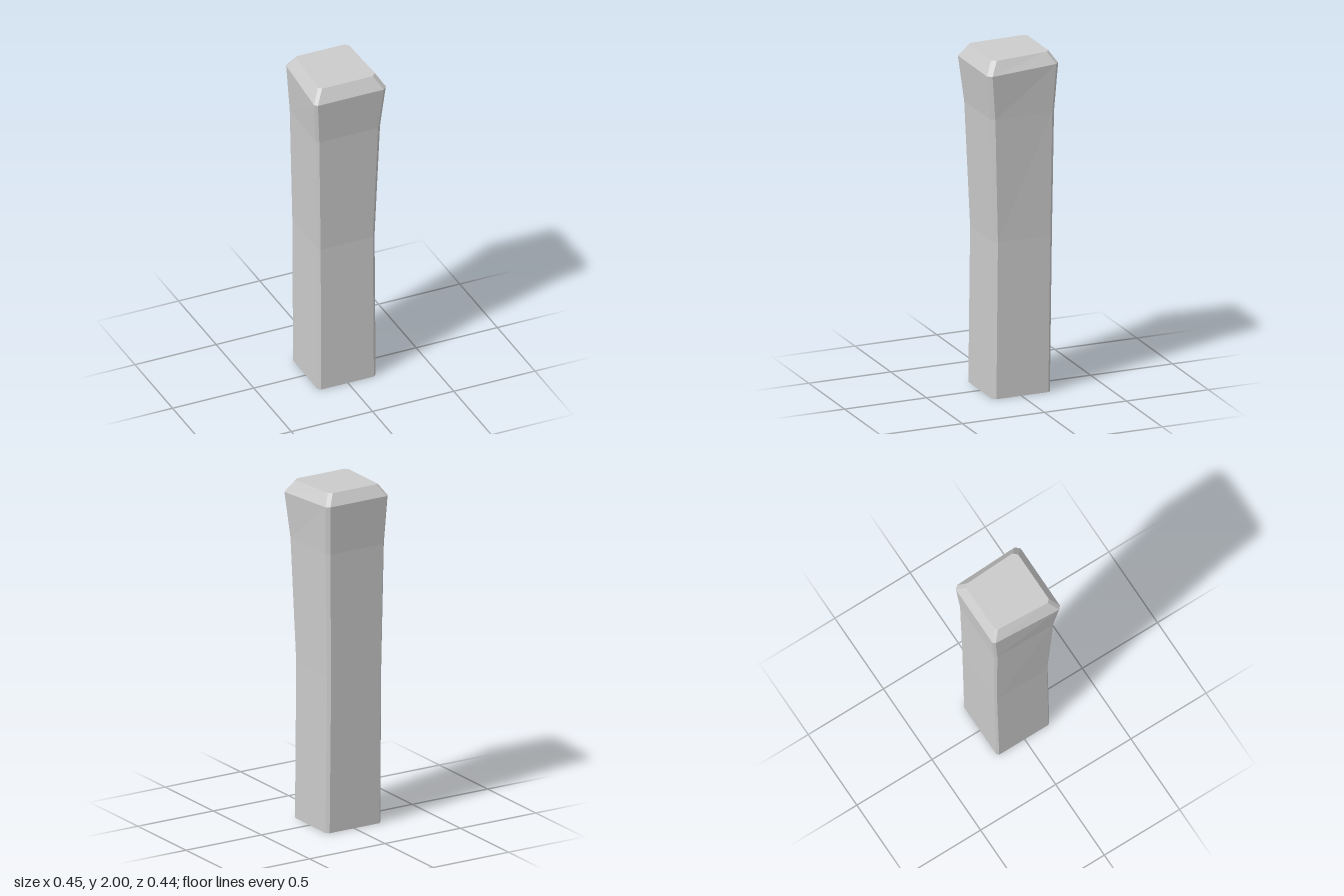
import * as THREE from 'three';

// Corner chamfers: front left of image, front +x, back +x, back -x
const CHAMFER = [0.017, 0.024, 0.02, 0.014];

// Eight-sided section: a trapezoid with cut corners, tilted from yFront to yBack
function section({ xf, xb, zf, zb, yf, yb = yf, c = 1 }) {
  const [a, b, d, e] = CHAMFER.map((v) => v * c);
  const outline = [
    [-xf + a, zf], [xf - b, zf], [xf, zf - b], [xb, zb + d],
    [xb - d, zb], [-xb + e, zb], [-xb, zb + e], [-xf, zf - a],
  ];
  return outline.map(([x, z]) => {
    const t = (zf - z) / (zf - zb);
    return [x, yf + (yb - yf) * t, z];
  });
}

export function createModel() {
  const group = new THREE.Group();
  group.name = 'post';

  // Sections from the open foot to the bevelled, slightly tilted top
  const rings = [
    { xf: 0.18, xb: 0.18, zf: 0.173, zb: -0.181, yf: 0, c: 0.85 },
    { xf: 0.178, xb: 0.178, zf: 0.163, zb: -0.194, yf: 0.92, c: 0.85 },
    { xf: 0.2, xb: 0.191, zf: 0.19, zb: -0.202, yf: 1.65, c: 0.93 },
    { xf: 0.223, xb: 0.204, zf: 0.219, zb: -0.222, yf: 1.915, yb: 1.935 },
    { xf: 0.177, xb: 0.162, zf: 0.173, zb: -0.18, yf: 1.99, yb: 2 },
  ].map(section);

  // Walls between neighbouring sections, then the top cap
  const n = 8;
  const index = [];
  for (let r = 0; r < rings.length - 1; r++) {
    for (let i = 0; i < n; i++) {
      const a = r * n + i;
      const b = r * n + ((i + 1) % n);
      index.push(a, b, b + n, a, b + n, a + n);
    }
  }
  const top = (rings.length - 1) * n;
  for (let i = 1; i < n - 1; i++) index.push(top, top + i, top + i + 1);

  const indexed = new THREE.BufferGeometry();
  indexed.setAttribute('position', new THREE.Float32BufferAttribute(rings.flat(2), 3));
  indexed.setIndex(index);
  const geometry = indexed.toNonIndexed();
  geometry.computeVertexNormals();

  const material = new THREE.MeshStandardMaterial({
    color: 0xcccccc, flatShading: true, side: THREE.DoubleSide,
  });
  const shaft = new THREE.Mesh(geometry, material);
  shaft.name = 'postShell';
  group.add(shaft);
  return group;
}
